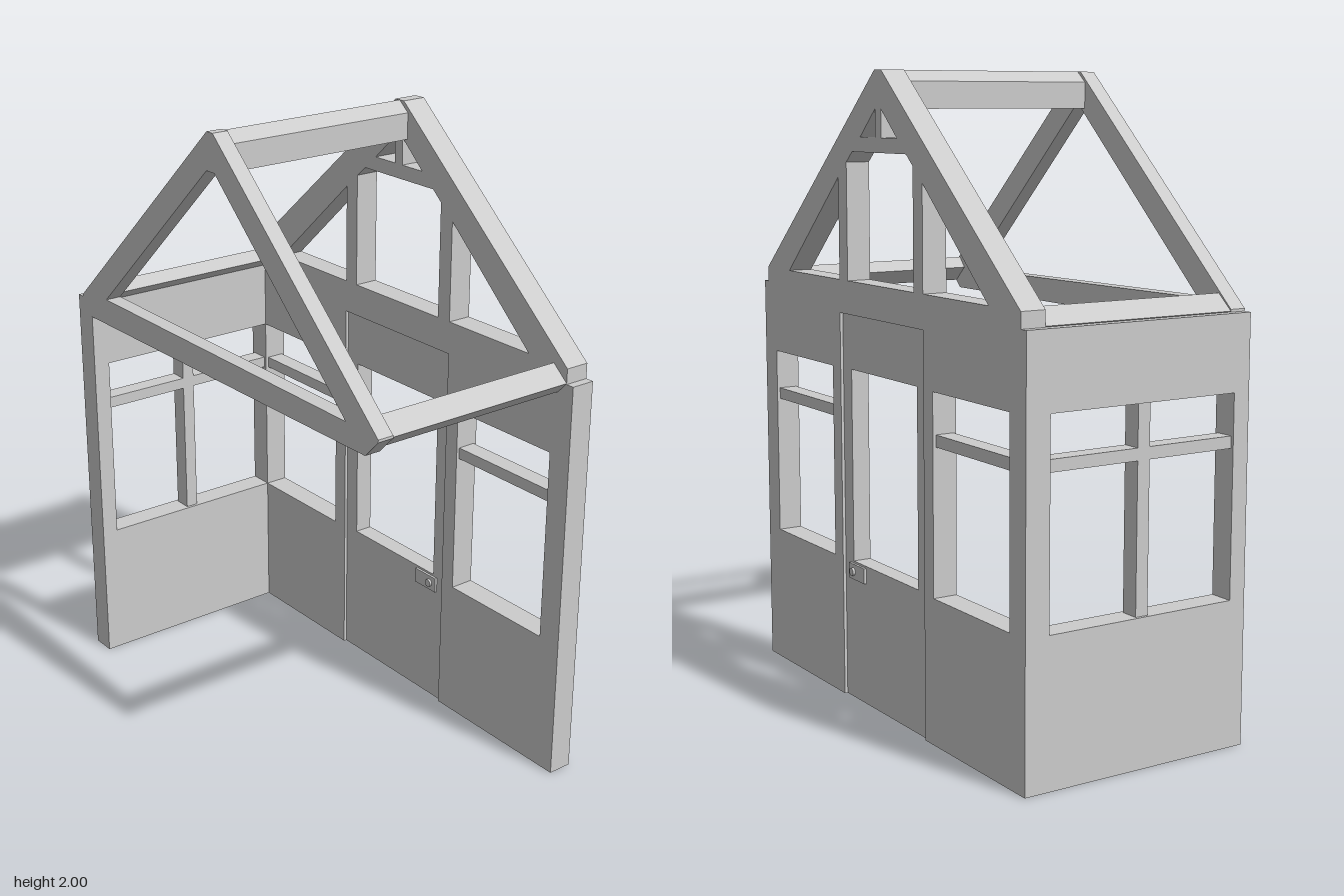
import * as THREE from 'three';

const material = new THREE.MeshStandardMaterial({ color: 0xcccccc, flatShading: true });

const rect = (x0, x1, y0, y1) => [[x0, y0], [x1, y0], [x1, y1], [x0, y1]];
const flipX = (pts) => pts.map(([x, y]) => [-x, y]).reverse();

// Flat panel in the xy plane, with holes, running from z0 to z1
function panel(name, outline, holes, z0, z1) {
  const toVectors = (pts) => pts.map(([x, y]) => new THREE.Vector2(x, y));
  const shape = new THREE.Shape(toVectors(outline));
  for (const hole of holes) shape.holes.push(new THREE.Path(toVectors(hole)));
  const geometry = new THREE.ExtrudeGeometry(shape, { depth: z1 - z0, bevelEnabled: false });
  geometry.translate(0, 0, z0);
  const mesh = new THREE.Mesh(geometry, material);
  mesh.name = name;
  return mesh;
}

function box(name, x0, x1, y0, y1, z0, z1) {
  const mesh = new THREE.Mesh(new THREE.BoxGeometry(x1 - x0, y1 - y0, z1 - z0), material);
  mesh.position.set((x0 + x1) / 2, (y0 + y1) / 2, (z0 + z1) / 2);
  mesh.name = name;
  return mesh;
}

export function createModel() {
  const group = new THREE.Group();
  const back = -0.39, inner = -0.31, front = 0.39;
  const sill = 0.455, head = 1.075, barLow = 0.91, barHigh = 0.947;

  // Back wall with gable, door notch and windows
  const wallOutline = [
    [-0.797, 0], [-0.257, 0], [-0.257, 1.25], [0.257, 1.25], [0.257, 0], [0.797, 0],
    [0.797, 1.307], [0.77, 1.307], [0.77, 1.355], [0.02, 2], [-0.02, 2],
    [-0.77, 1.355], [-0.77, 1.307], [-0.797, 1.307],
  ];
  const sideGable = [[0.257, 1.355], [0.61, 1.355], [0.257, 1.675]];
  const smallGable = [[0.018, 1.8], [0.112, 1.8], [0.018, 1.885]];
  const window = rect(0.31, 0.717, sill, head);
  const middleGable = [
    [-0.203, 1.355], [0.203, 1.355], [0.203, 1.722], [0.165, 1.755], [-0.165, 1.755], [-0.203, 1.722],
  ];
  const wallHoles = [middleGable];
  for (const hole of [sideGable, smallGable, window]) wallHoles.push(hole, flipX(hole));
  group.add(panel('backWall', wallOutline, wallHoles, back, inner));

  // Window crossbars
  for (const s of [-1, 1]) {
    const x0 = s > 0 ? 0.31 : -0.717;
    group.add(box('backWindowBar', x0, x0 + 0.407, barLow, barHigh, back + 0.01, inner - 0.01));
  }

  // Recessed door with one tall window
  group.add(panel('door', rect(-0.257, 0.257, 0, 1.25), [rect(-0.203, 0.203, sill, head)], back + 0.01, inner - 0.01));

  // Lock plate and knob on both faces of the door
  for (const [side, z] of [[1, inner - 0.01], [-1, back + 0.01]]) {
    group.add(box('lockPlate', 0.122, 0.222, 0.398, 0.448, z - 0.008, z + 0.008));
    const knob = new THREE.Mesh(new THREE.CylinderGeometry(0.013, 0.013, 0.016, 16), material);
    knob.rotation.x = Math.PI / 2;
    knob.position.set(0.193, 0.423, z + side * 0.008);
    knob.name = 'doorKnob';
    group.add(knob);
  }

  // Side wall on the right, drawn in its own plane and turned to run along z
  const sideWall = new THREE.Group();
  sideWall.name = 'sideWall';
  sideWall.add(panel('sidePanel', [
    [inner, 0], [front, 0], [front, 1.307], [inner, 1.307],
    [inner, head], [0.335, head], [0.335, sill], [inner, sill],
  ], [], 0, 0.08));
  sideWall.add(box('sideMullion', -0.005, 0.037, sill, head, 0.01, 0.07));
  sideWall.add(box('sideWindowBar', inner, 0.335, barLow, barHigh, 0.01, 0.07));
  sideWall.rotation.y = -Math.PI / 2;
  sideWall.position.x = -0.717;
  group.add(sideWall);

  // Front roof truss
  const trussOutline = [
    [-0.715, 1.25], [0.715, 1.25], [0.77, 1.307], [0.77, 1.315], [0.015, 2], [-0.015, 2], [-0.77, 1.315], [-0.77, 1.307],
  ];
  const trussHole = [[-0.62, 1.335], [0.63, 1.322], [0.02, 1.885], [-0.02, 1.885]];
  group.add(panel('frontTruss', trussOutline, [trussHole], 0.338, front));

  // Ridge beam and the two tilted eave beams
  group.add(panel('ridgeBeam', [[-0.04, 1.885], [0.04, 1.885], [0.04, 1.967], [0, 2], [-0.04, 1.967]], [], inner, 0.338));
  const eave = [[0.738, 1.275], [0.77, 1.31], [0.714, 1.358], [0.685, 1.324]];
  group.add(panel('leftEaveBeam', eave, [], inner, 0.338));
  group.add(panel('rightEaveBeam', flipX(eave), [], inner, 0.338));

  return group;
}
